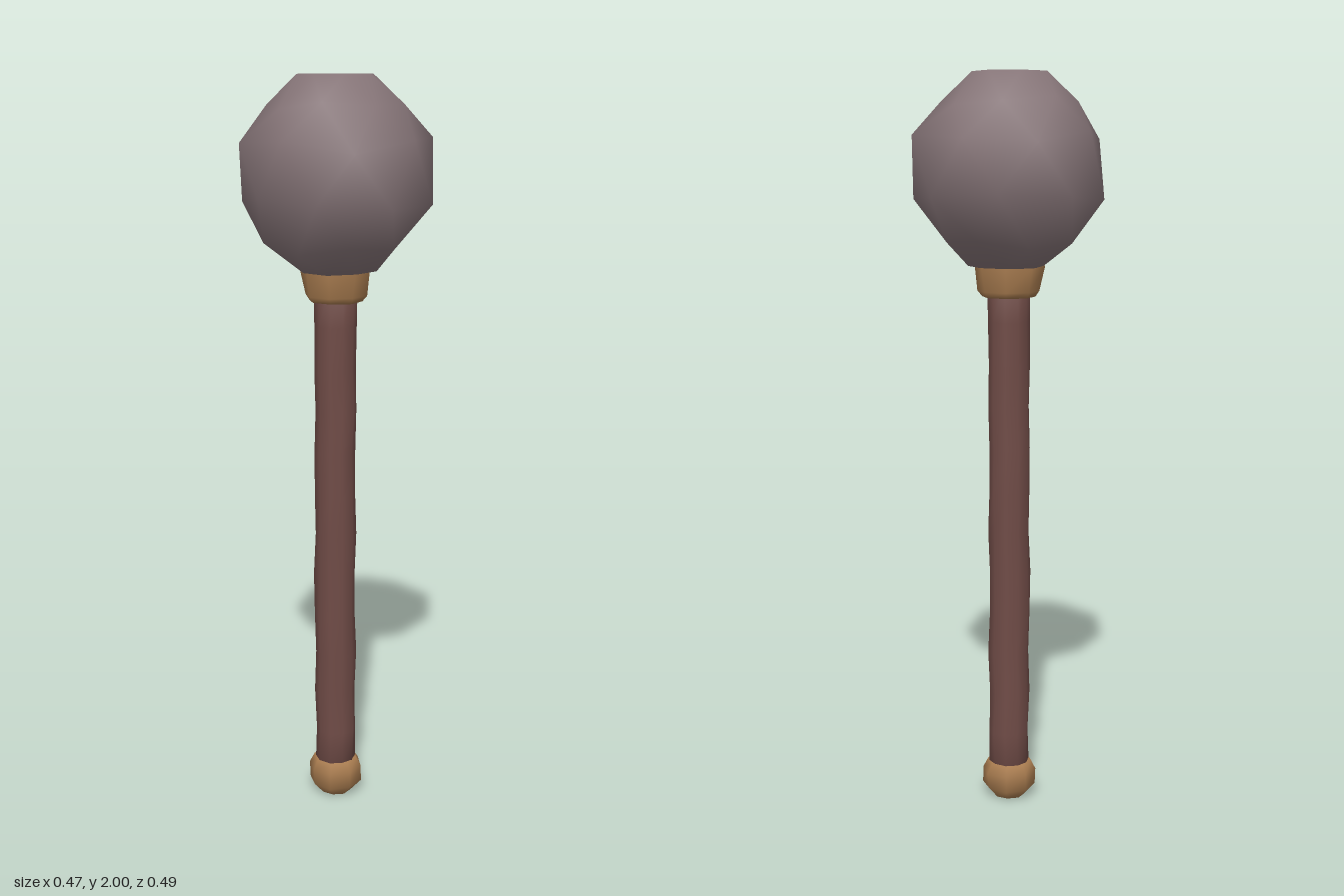
import * as THREE from 'three';

// Small repeatable noise in -1..1
function seeded(seed) {
  let s = seed;
  return () => {
    s = (s * 16807) % 2147483647;
    return (s / 2147483647) * 2 - 1;
  };
}

// Closed smooth solid from rings listed bottom to top.
// Ring: { y, radii, twist (in steps), x, z }; a ring's twist offsets it by part of a side.
function ringSolid(rings) {
  const n = rings[0].radii.length;
  const pos = [], idx = [];
  for (const { y, radii, twist = 0, x = 0, z = 0, lift = [] } of rings) {
    radii.forEach((r, i) => {
      const a = ((i + twist) / n) * Math.PI * 2;
      pos.push(x + r * Math.cos(a), y + (lift[i] || 0), z + r * Math.sin(a));
    });
  }
  for (let k = 0; k < rings.length - 1; k++) {
    const twisted = (rings[k + 1].twist || 0) >= (rings[k].twist || 0);
    for (let i = 0; i < n; i++) {
      const j = (i + 1) % n;
      const a = k * n + i, b = k * n + j, c = a + n, d = b + n;
      if (twisted) idx.push(a, c, b, b, c, d);
      else idx.push(a, d, b, a, c, d);
    }
  }
  // End caps
  const last = rings.length - 1;
  const low = pos.length / 3, high = low + 1;
  pos.push(rings[0].x || 0, rings[0].y, rings[0].z || 0);
  pos.push(rings[last].x || 0, rings[last].y, rings[last].z || 0);
  for (let i = 0; i < n; i++) {
    const j = (i + 1) % n;
    idx.push(low, i, j, high, last * n + j, last * n + i);
  }
  const g = new THREE.BufferGeometry();
  g.setAttribute('position', new THREE.Float32BufferAttribute(pos, 3));
  g.setIndex(idx);
  g.computeVertexNormals();
  return g;
}

// Ring of n sides with a slightly uneven radius
const unevenRing = (n, y, r, amount, rand, extra = {}) => ({
  y, radii: Array.from({ length: n }, () => r + rand() * amount), ...extra,
});

export function createModel() {
  const group = new THREE.Group();
  const stone = new THREE.MeshStandardMaterial({ color: 0x857477 });
  const wood = new THREE.MeshStandardMaterial({ color: 0x704c47 });
  const brass = new THREE.MeshStandardMaterial({ color: 0xa67a4e });
  stone.name = 'stone';
  wood.name = 'dark wood';
  brass.name = 'tan binding';

  const add = (name, geometry, material) => {
    const mesh = new THREE.Mesh(geometry, material);
    mesh.name = name;
    group.add(mesh);
  };

  // Chiselled stone head, with alternate rings turned half a side
  add('stoneHead', ringSolid([
    { y: 1.5, radii: [0.1, 0.11, 0.1, 0.09, 0.1, 0.1, 0.1, 0.11], twist: 0.5 },
    { y: 1.565, radii: [0.18, 0.18, 0.17, 0.19, 0.185, 0.18, 0.18, 0.17], lift: [0, 0.01, -0.01, 0.01, 0, -0.01, 0.01, 0] },
    { y: 1.685, radii: [0.255, 0.245, 0.235, 0.25, 0.255, 0.255, 0.255, 0.255], twist: 0.5, lift: [-0.01, 0, 0.01, -0.01, 0, 0.01, 0, -0.01] },
    { y: 1.83, radii: [0.238, 0.25, 0.24, 0.25, 0.235, 0.258, 0.25, 0.26], lift: [0.01, -0.02, 0.01, 0, 0.02, -0.01, 0, 0.01] },
    { y: 1.925, radii: [0.18, 0.175, 0.17, 0.18, 0.185, 0.175, 0.18, 0.18], twist: 0.5, lift: [0, 0.01, -0.01, 0, 0.01, 0, -0.01, 0] },
    { y: 2, radii: [0.105, 0.11, 0.1, 0.1, 0.11, 0.11, 0.11, 0.1] },
  ]), stone);

  // Rough wooden shaft
  const rand = seeded(71);
  const shaft = [];
  for (let i = 0; i <= 12; i++) {
    shaft.push(unevenRing(10, 0.08 + i * 0.1158, 0.056, 0.0025, rand, { x: rand() * 0.002, z: rand() * 0.002 }));
  }
  add('shaft', ringSolid(shaft), wood);

  // Collar under the head
  add('collar', ringSolid([
    unevenRing(8, 1.42, 0.073, 0.003, rand, { twist: 0.5 }),
    unevenRing(8, 1.435, 0.083, 0.003, rand, { twist: 0.5 }),
    unevenRing(8, 1.5, 0.093, 0.003, rand, { twist: 0.5 }),
    unevenRing(8, 1.53, 0.085, 0.002, rand, { twist: 0.5 }),
  ]), brass);

  // Rounded pommel at the foot
  add('pommel', ringSolid([
    unevenRing(8, 0, 0.042, 0.002, rand, { twist: 0.5 }),
    unevenRing(8, 0.033, 0.073, 0.003, rand, { twist: 0.5 }),
    unevenRing(8, 0.078, 0.075, 0.003, rand, { twist: 0.5 }),
    unevenRing(8, 0.105, 0.06, 0.002, rand, { twist: 0.5 }),
  ]), brass);

  return group;
}
